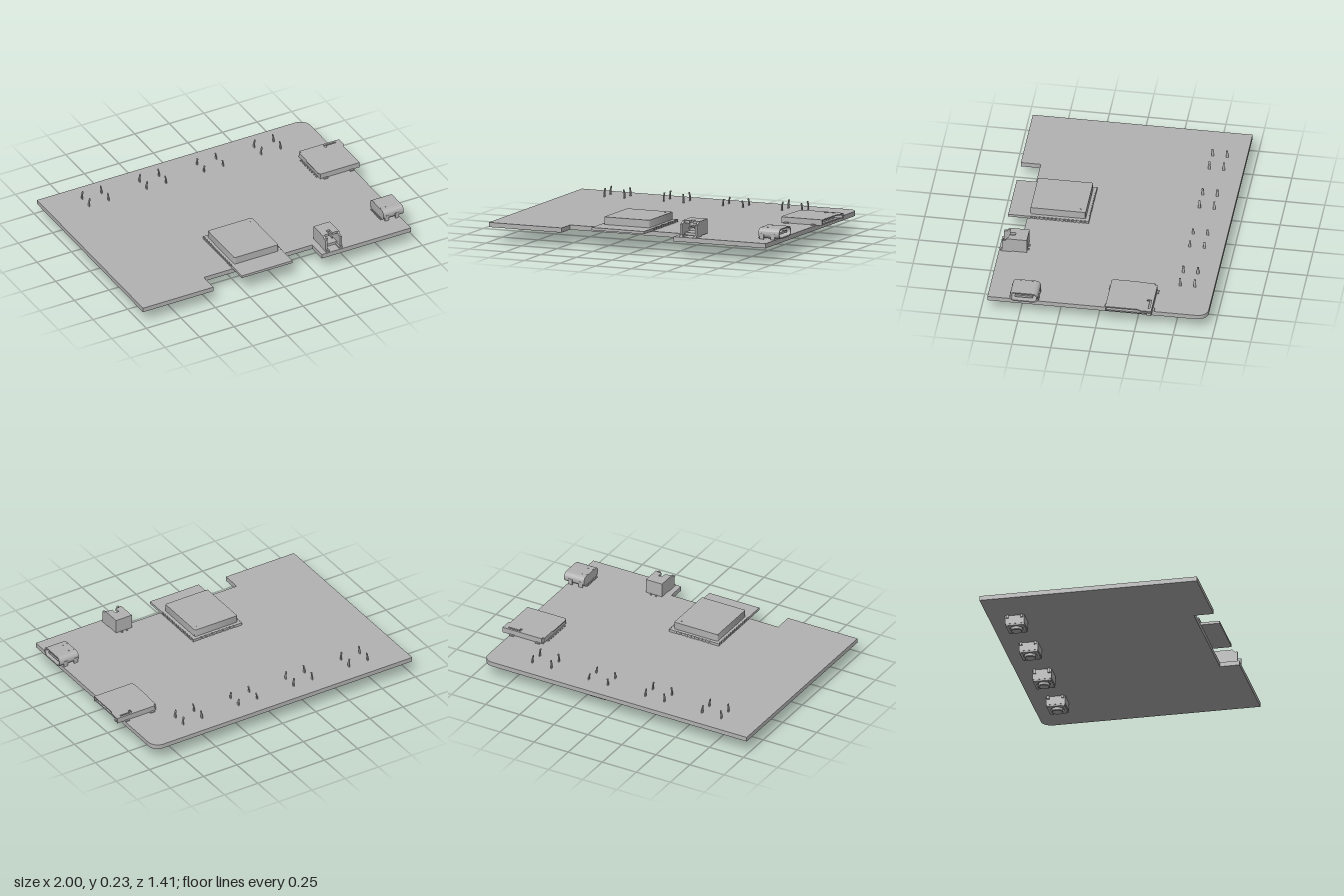
import * as THREE from 'three';
import { toCreasedNormals } from 'three/addons/utils/BufferGeometryUtils.js';

export function createModel() {
  const model = new THREE.Group();
  model.name = 'circuitBoard';
  const grey = new THREE.MeshStandardMaterial({ color: 0xb2b2b2 });
  grey.name = 'plain grey';

  const add = (parent, name, geo) => {
    const mesh = new THREE.Mesh(geo, grey);
    mesh.name = name;
    parent.add(mesh);
    return mesh;
  };
  const group = (name) => {
    const g = new THREE.Group();
    g.name = name;
    model.add(g);
    return g;
  };
  // Box given by its minimum and maximum on each axis
  const box = (parent, name, x0, x1, y0, y1, z0, z1) => {
    const geo = new THREE.BoxGeometry(x1 - x0, y1 - y0, z1 - z0);
    geo.translate((x0 + x1) / 2, (y0 + y1) / 2, (z0 + z1) / 2);
    return add(parent, name, geo);
  };
  const extrude = (shape, depth) => toCreasedNormals(
    new THREE.ExtrudeGeometry(shape, { depth, bevelEnabled: false, curveSegments: 8 }), 0.6);
  // Plan shape (x, -z) raised from y0 to y1
  const slab = (parent, name, shape, y0, y1) =>
    add(parent, name, extrude(shape, y1 - y0).rotateX(-Math.PI / 2).translate(0, y0, 0));
  // Section shape (-z, y) swept from x0 to x1
  const sweepX = (parent, name, shape, x0, x1) =>
    add(parent, name, extrude(shape, x1 - x0).rotateY(Math.PI / 2).translate(x0, 0, 0));
  const polygon = (pts) => new THREE.Shape(pts.map(([x, z]) => new THREE.Vector2(x, -z)));
  const roundRect = (u0, u1, v0, v1, r) => {
    const s = new THREE.Shape();
    s.absarc(u1 - r, v0 + r, r, -Math.PI / 2, 0);
    s.absarc(u1 - r, v1 - r, r, 0, Math.PI / 2);
    s.absarc(u0 + r, v1 - r, r, Math.PI / 2, Math.PI);
    s.absarc(u0 + r, v0 + r, r, Math.PI, Math.PI * 1.5);
    s.closePath();
    return s;
  };

  // Main board with a front notch and one rounded corner
  const board = new THREE.Shape();
  board.moveTo(-1, -0.705);
  board.lineTo(-0.49, -0.705);
  board.lineTo(-0.49, -0.578);
  board.lineTo(0.295, -0.578);
  board.lineTo(0.295, -0.705);
  board.lineTo(0.94, -0.705);
  board.lineTo(0.94, 0.64);
  board.absarc(0.87, 0.64, 0.07, 0, Math.PI / 2);
  board.lineTo(-1, 0.71);
  board.closePath();
  slab(model, 'mainBoard', board, 0.1, 0.13);

  // Radio module with half-round notches along three edges
  const radio = group('radioModule');
  const carrier = new THREE.Shape();
  const notch = 0.006;
  carrier.moveTo(-0.282, -0.7);
  carrier.lineTo(0.085, -0.7);
  for (let i = 0; i < 14; i++) {
    carrier.absarc(0.085, -0.55 + i * 0.0265, notch, -Math.PI / 2, Math.PI / 2, true);
  }
  carrier.lineTo(0.085, -0.182);
  for (let i = 0; i < 10; i++) {
    carrier.absarc(0.022 - i * 0.0265, -0.182, notch, 0, Math.PI, true);
  }
  carrier.lineTo(-0.282, -0.182);
  for (let i = 13; i >= 0; i--) {
    carrier.absarc(-0.282, -0.55 + i * 0.0265, notch, Math.PI / 2, -Math.PI / 2, true);
  }
  carrier.closePath();
  slab(radio, 'moduleBoard', carrier, 0.13, 0.147);
  slab(radio, 'shieldCan', roundRect(-0.26, 0.058, -0.56, -0.205, 0.008), 0.147, 0.196);
  add(radio, 'pinOneMark', new THREE.CylinderGeometry(0.006, 0.006, 0.002, 12))
    .position.set(0.022, 0.197, 0.24);

  // Battery socket, open at the front
  const socket = group('batterySocket');
  const cheek = new THREE.Shape([[-0.525, 0.135], [-0.525, 0.229], [-0.652, 0.229],
    [-0.668, 0.212], [-0.686, 0.212], [-0.686, 0.135]].reverse()
    .map(([u, v]) => new THREE.Vector2(-u, v).multiply(new THREE.Vector2(-1, 1))));
  const sideX = [[0.332, 0.346], [0.436, 0.45]];
  for (const [x0, x1] of sideX) sweepX(socket, 'sideWall', cheek, x0, x1);
  box(socket, 'floor', 0.346, 0.436, 0.135, 0.152, 0.525, 0.645);
  box(socket, 'rearWall', 0.346, 0.436, 0.152, 0.229, 0.525, 0.565);
  slab(socket, 'slottedRoof', polygon([[0.346, 0.56], [0.436, 0.56], [0.436, 0.645],
    [0.404, 0.645], [0.404, 0.605], [0.378, 0.605], [0.378, 0.645], [0.346, 0.645]]), 0.212, 0.229);
  for (const x of [0.372, 0.41]) {
    box(socket, 'contactPin', x - 0.005, x + 0.005, 0.175, 0.187, 0.565, 0.635);
    box(socket, 'rearLead', x - 0.005, x + 0.005, 0.13, 0.138, 0.515, 0.54);
  }
  for (const x of [0.344, 0.438]) {
    box(socket, 'mountTab', x - 0.012, x + 0.012, 0.13, 0.142, 0.62, 0.695);
  }

  // Oval charging port with a hollow shell and central tongue
  const port = group('chargingPort');
  const shell = roundRect(-0.558, -0.378, 0.134, 0.2, 0.03);
  shell.holes.push(roundRect(-0.55, -0.386, 0.142, 0.192, 0.023));
  sweepX(port, 'portShell', shell, 0.835, 0.967);
  sweepX(port, 'portRear', roundRect(-0.558, -0.378, 0.134, 0.2, 0.03), 0.822, 0.86);
  sweepX(port, 'portTongue', roundRect(-0.527, -0.409, 0.16, 0.174, 0.006), 0.855, 0.955);
  for (const z of [0.38, 0.556]) {
    for (const x of [0.845, 0.92]) {
      box(port, 'shellLeg', x - 0.014, x + 0.014, 0.11, 0.168, z - 0.004, z + 0.004);
    }
  }
  for (const z of [0.43, 0.505]) {
    for (const x of [0.828, 0.863]) {
      box(port, 'springMark', x - 0.004, x + 0.004, 0.198, 0.202, z - 0.004, z + 0.004);
    }
  }
  for (let i = 0; i < 8; i++) {
    const z = 0.407 + i * 0.0174;
    box(port, 'signalLead', 0.812, 0.83, 0.13, 0.138, z - 0.004, z + 0.004);
  }

  // Memory card reader: base, walls, thin lid and a row of contacts
  const reader = group('cardReader');
  const lid = polygon([[0.697, -0.34], [0.71, -0.34], [0.71, -0.357], [0.995, -0.357], [0.995, -0.29],
    [0.983, -0.27], [0.983, -0.06], [0.7, -0.06], [0.692, -0.08], [0.692, -0.23], [0.697, -0.25]].reverse());
  lid.holes.push(new THREE.Path([[0.872, 0.343], [0.962, 0.343], [0.962, 0.333], [0.888, 0.333],
    [0.888, 0.315], [0.872, 0.315]].map(([x, y]) => new THREE.Vector2(x, y))));
  slab(reader, 'readerLid', lid, 0.162, 0.169);
  box(reader, 'readerBase', 0.7, 0.975, 0.131, 0.14, -0.352, -0.064);
  box(reader, 'readerWall', 0.7, 0.983, 0.133, 0.163, -0.066, -0.06);
  box(reader, 'readerWall', 0.71, 0.995, 0.133, 0.163, -0.357, -0.351);
  box(reader, 'readerRear', 0.697, 0.72, 0.136, 0.163, -0.345, -0.064);
  box(reader, 'ejectSlider', 0.86, 1, 0.14, 0.158, -0.35, -0.33);
  box(reader, 'latchSpring', 0.892, 0.955, 0.16, 0.166, -0.329, -0.324);
  for (let i = 0; i < 8; i++) {
    const z = -0.3 + i * 0.029;
    box(reader, 'cardContact', 0.74, 0.955, 0.14, 0.148, z - 0.006, z + 0.006);
    box(reader, 'readerLead', 0.686, 0.705, 0.13, 0.138, z - 0.005, z + 0.005);
  }
  for (const z of [-0.362, -0.055]) {
    for (const x of [0.735, 0.925]) {
      box(reader, 'solderTab', x - 0.016, x + 0.016, 0.13, 0.137, z - 0.007, z + 0.007);
    }
  }

  // Four push buttons hanging below, with leads poking through the board
  [[-0.672, 0.012], [-0.256, 0.012], [0.159, 0], [0.574, 0.012]].forEach(([x, lift]) => {
    const button = group('pushButton');
    button.position.set(x, lift, -0.538);
    box(button, 'switchBody', -0.062, 0.062, 0.032, 0.1 - lift, -0.062, 0.062);
    // Metal face plate with a round opening
    const plate = roundRect(-0.06, 0.06, -0.06, 0.06, 0.004);
    const hole = new THREE.Path();
    hole.absarc(0, 0, 0.044, 0, Math.PI * 2, true);
    plate.holes.push(hole);
    slab(button, 'facePlate', plate, 0.02, 0.032);
    const cap = [[0, 0.003], [0.032, 0.003], [0.036, 0.007], [0.036, 0.034], [0, 0.034]]
      .map(([r, y]) => new THREE.Vector2(r, y));
    add(button, 'buttonCap', toCreasedNormals(new THREE.LatheGeometry(cap, 28), 0.5));
    for (const sx of [-1, 1]) {
      for (const sz of [-1, 1]) {
        add(button, 'cornerRivet', new THREE.CylinderGeometry(0.007, 0.007, 0.006, 12))
          .position.set(sx * 0.048, 0.019, sz * 0.048);
        const lead = group('lead');
        button.add(lead);
        lead.position.set(sx * 0.07, 0, sz * 0.047);
        box(lead, 'leadStrip', -0.003, 0.003, 0.07, 0.15, -0.008, 0.008);
        const tip = box(lead, 'leadTip', -0.003, 0.003, 0, 0.027, -0.006, 0.006);
        tip.position.set(0, 0.147, 0);
        tip.rotation.z = sx * 0.2;
        box(lead, 'leadShoulder', sx > 0 ? -0.01 : -0.003, sx > 0 ? 0.003 : 0.01, 0.07, 0.076, -0.008, 0.008);
      }
    }
  });

  return model;
}
